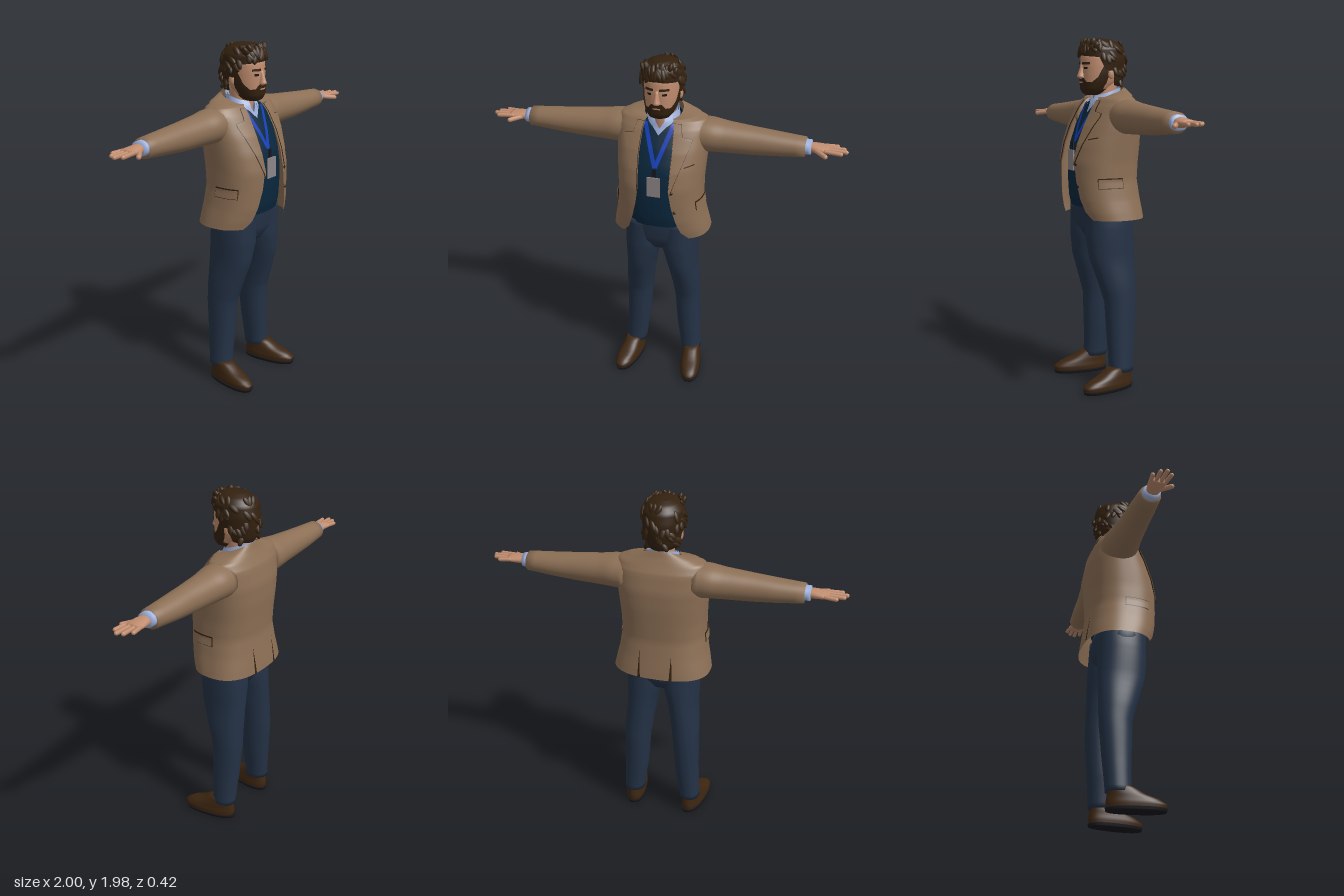
import * as THREE from 'three';
import { mergeGeometries } from 'three/addons/utils/BufferGeometryUtils.js';

const mat = (name, color, double = true) => new THREE.MeshStandardMaterial({
  name, color, side: double ? THREE.DoubleSide : THREE.FrontSide });

// Interpolate a table whose first column is the key
function at(rows, y) {
  let i = 0;
  while (i < rows.length - 2 && y > rows[i + 1][0]) i++;
  const a = rows[i], b = rows[i + 1];
  const f = THREE.MathUtils.clamp((y - a[0]) / (b[0] - a[0]), 0, 1);
  return [0, 1, 2, 3, 4, 5, 6].map(k => (a[k] ?? 0) + ((b[k] ?? 0) - (a[k] ?? 0)) * f);
}

// Point on a body whose rows are [y, halfWidth, zBack, zFront, centreX, tilt, frontOpening]
function point(rows, p, t, y, off = 0) {
  const [, w, zb, zf, cx, tilt] = at(rows, y), s = Math.sin(t), c = Math.cos(t);
  return [cx + (w + off) * Math.sign(s) * Math.abs(s) ** p,
    y + tilt * c,
    (zb + zf) / 2 + ((zf - zb) / 2 + off) * Math.sign(c) * Math.abs(c) ** p];
}
const angleAt = (rows, p, x, y) =>
  Math.sign(x) * Math.asin(Math.min(1, Math.abs(x) / at(rows, y)[1]) ** (1 / p));

// Surface from f(u, v): u runs to the right, v upwards
function grid(nu, nv, f, wrap = false) {
  const pos = [], idx = [], cols = wrap ? nu : nu + 1;
  for (let j = 0; j <= nv; j++) for (let i = 0; i < cols; i++) pos.push(...f(i / nu, j / nv));
  for (let j = 0; j < nv; j++) for (let i = 0; i < nu; i++) {
    const i2 = (i + 1) % cols, a = j * cols + i, b = j * cols + i2;
    idx.push(a, b, b + cols, a, b + cols, a + cols);
  }
  const g = new THREE.BufferGeometry();
  g.setAttribute('position', new THREE.Float32BufferAttribute(pos, 3));
  g.setIndex(idx);
  g.computeVertexNormals();
  return g;
}

// Stack of rounded cross-sections, either closed with caps or open at the front
function loft(rows, { p = 1, n = 40, open = false, sub = 3 } = {}) {
  const N = (rows.length - 1) * sub;
  const yAt = k => {
    const i = Math.min(Math.floor(k / sub), rows.length - 2);
    return rows[i][0] + (rows[i + 1][0] - rows[i][0]) * (k / sub - i);
  };
  if (open) return grid(n, N, (u, v) => {
    const y = yAt(v * N), t0 = angleAt(rows, p, at(rows, y)[6], y);
    return point(rows, p, t0 + (2 * Math.PI - 2 * t0) * u, y);
  });
  return grid(n, N + 2, (u, v) => {
    const j = Math.round(v * (N + 2)), y = yAt(THREE.MathUtils.clamp(j - 1, 0, N));
    if (j > 0 && j < N + 2) return point(rows, p, u * 2 * Math.PI, y);
    const r = at(rows, y);
    return [r[4], y, (r[2] + r[3]) / 2];
  }, true);
}

// Plate lying on a body between two angles and two heights
const patch = (rows, p, t0, t1, y0, y1, off) => grid(12, 6, (u, v) =>
  point(rows, p, t0 + (t1 - t0) * u, y0 + (y1 - y0) * v, off));

function mirrored(geo) {
  const g = geo.clone().scale(-1, 1, 1), ix = g.index;
  for (let i = 0; i < ix.count; i += 3) {
    const b = ix.getX(i + 1);
    ix.setX(i + 1, ix.getX(i + 2));
    ix.setX(i + 2, b);
  }
  return g;
}

const ellipsoid = (rx, ry, rz, x, y, z) =>
  new THREE.SphereGeometry(1, 18, 12).scale(rx, ry, rz).translate(x, y, z);

function finger(a, b, r) {
  const A = new THREE.Vector3(...a), B = new THREE.Vector3(...b), d = B.clone().sub(A);
  const g = new THREE.CapsuleGeometry(r, d.length(), 5, 10);
  g.applyQuaternion(new THREE.Quaternion().setFromUnitVectors(new THREE.Vector3(0, 1, 0), d.normalize()));
  const c = A.add(B).multiplyScalar(0.5);
  return g.translate(c.x, c.y, c.z);
}

export function createModel() {
  const model = new THREE.Group();
  model.name = 'man';
  const tan = mat('jacketTan', 0x8c6f55), brown = mat('hairBrown', 0x33210f), leather = mat('shoeLeather', 0x3d2611, false),
    dark = mat('soleBlack', 0x17171c), navy = mat('trouserNavy', 0x243246, false), knit = mat('sweaterBlue', 0x0a273d),
    blue = mat('lanyardBlue', 0x143fb8), pale = mat('shirtBlue', 0x9fb2de), skin = mat('skin', 0xc08c6e, false),
    grey = mat('badgeGrey', 0x8d8587, false);
  const add = (name, geo, m) => {
    const mesh = new THREE.Mesh(geo, m);
    mesh.name = name;
    model.add(mesh);
  };
  const pair = (name, geo, m) => {
    add(name + 'Left', geo, m);
    add(name + 'Right', mirrored(geo), m);
  };

  // Jacket body, open down the front
  const J = [[.985, .277, -.205, .175, 0, 0, .19], [1.03, .268, -.2, .19, 0, 0, .15], [1.1, .252, -.19, .205, 0, 0, .125],
    [1.2, .237, -.177, .213, 0, 0, .1], [1.3, .238, -.183, .213, 0, 0, .085], [1.4, .245, -.19, .19, 0, 0, .088],
    [1.5, .252, -.19, .15, 0, 0, .09], [1.6, .255, -.17, .095, 0, 0, .085], [1.645, .24, -.145, .06, 0, 0, .078],
    [1.67, .17, -.125, .05, 0, -.015, .07], [1.68, .105, -.115, .045, 0, -.035, .066]];
  const jp = .8, onJacket = (x, y, off) => point(J, jp, angleAt(J, jp, x, y), y, off);
  add('jacketBody', loft(J, { p: jp, n: 72, open: true, sub: 4 }), tan);
  add('jacketCollar', grid(48, 4, (u, v) => {
    const y = 1.66 + .02 * v, t0 = angleAt(J, jp, at(J, y)[6], y);
    return point(J, jp, t0 + (2 * Math.PI - 2 * t0) * u, y, .008);
  }), tan);

  // Notched lapels with a dark edge underneath
  const edge = [[1.28, .089], [1.35, .112], [1.45, .145], [1.555, .18], [1.572, .178], [1.58, .13], [1.64, .115]];
  const lapel = (extra, off) => grid(8, 36, (u, v) => {
    const y = 1.28 + .36 * v, o = at(J, y)[6];
    return onJacket(o + (at(edge, y)[1] + extra - o) * u, y, off);
  });
  pair('lapelEdge', lapel(.004, .006), brown);
  pair('lapel', lapel(0, .011), tan);

  // Pocket flaps, back vents, chest pocket and buttons
  pair('pocketFlapEdge', patch(J, jp, 1.08, 1.68, 1.161, 1.219, .005), brown);
  pair('pocketFlap', patch(J, jp, 1.1, 1.66, 1.165, 1.213, .009), tan);
  pair('backVent', grid(4, 10, (u, v) => {
    const y = .986 + .16 * v;
    return point(J, jp, Math.PI - angleAt(J, jp, .09 - (u - .5) * .016 * (1 - v), y), y, .004);
  }), brown);
  add('chestPocket', grid(6, 2, (u, v) => onJacket(.155 + .05 * u, 1.425 + .012 * u + .006 * v, .005)), brown);
  for (const [x, y] of [[.102, 1.29], [.118, 1.17]]) {
    const [px, py, pz] = onJacket(x, y, .003);
    add('jacketButton', ellipsoid(.009, .009, .005, px, py, pz), brown);
  }

  // Arms are lofted upright, then turned to point sideways
  const arm = (rows, opt) => loft(rows, opt).rotateZ(-Math.PI / 2);
  pair('sleeve', arm([[.19, .098, -.15, .06, -1.552], [.27, .093, -.15, .06, -1.553], [.35, .086, -.135, .047, -1.548],
    [.5, .077, -.12, .035, -1.543], [.62, .067, -.114, .03, -1.542], [.775, .054, -.1, .02, -1.543]]), tan);
  pair('shirtCuff', arm([[.75, .042, -.088, .01, -1.546], [.805, .039, -.086, .008, -1.546]]), pale);
  pair('palm', arm([[.79, .027, -.07, -.005, -1.547], [.83, .025, -.078, .006, -1.547], [.87, .02, -.084, .012, -1.547],
    [.9, .014, -.082, .012, -1.547]]), skin);
  for (const [z, tip, spread] of [[-.073, .938, -.008], [-.048, .975, -.003], [-.022, .988, .003], [.003, .962, .009]])
    pair('finger', finger([.88, 1.548, z], [tip, 1.546, z + spread], .0115), skin);
  pair('thumb', finger([.83, 1.543, -.005], [.885, 1.535, .04], .013), skin);

  // Sweater, shirt and shirt collar
  const S = [[1.045, .19, -.12, .16], [1.1, .2, -.14, .172], [1.2, .205, -.15, .178], [1.3, .205, -.15, .178],
    [1.4, .2, -.15, .163], [1.5, .2, -.14, .125], [1.57, .19, -.13, .09], [1.62, .15, -.11, .066, 0, 0, .045],
    [1.66, .1, -.1, .05, 0, -.02, .062]];
  const sp = .85;
  add('sweater', loft(S, { p: sp, n: 56, open: true }), knit);
  const C = [[1.53, .12, -.1, .095], [1.6, .1, -.095, .068], [1.64, .083, -.095, .06, 0, 0, .025],
    [1.69, .075, -.1, .045, 0, -.025, .035]];
  add('shirt', loft(C, { open: true }), pale);
  pair('shirtCollar', grid(24, 6, (u, v) => {
    const t = .3 + (Math.PI - .3) * u, low = at([[0, 1.6], [.7, 1.625], [1.5, 1.655], [3.2, 1.66]], t)[1];
    return point(C, 1, t, low + (1.689 - low) * v, .01);
  }), pale);

  // Lanyard and badge
  pair('lanyard', grid(3, 24, (u, v) => {
    const y = 1.41 + .23 * v, x = .078 * v + (u - .5) * .024;
    return point(S, sp, angleAt(S, sp, x, y), y, .007);
  }), blue);
  add('badgeClip', new THREE.BoxGeometry(.02, .05, .008).translate(0, 1.385, .178), dark);
  add('badge', new THREE.BoxGeometry(.074, .115, .008).translate(0, 1.307, .189), grey);

  // Trousers
  add('trouserSeat', loft([[.87, .08, -.1, .1], [.93, .2, -.135, .135], [1, .21, -.14, .145], [1.07, .2, -.132, .15]],
    { p: .9 }), navy);
  pair('trouserLeg', loft([[.1, .06, -.11, .03, .175], [.18, .063, -.115, .03, .168], [.3, .069, -.125, .035, .157],
    [.5, .075, -.14, .045, .147], [.6, .08, -.14, .075, .14], [.75, .086, -.14, .125, .121],
    [.87, .104, -.14, .14, .106], [.95, .108, -.136, .14, .102], [1.06, .1, -.13, .142, .1]], { p: .92 }), navy);

  // Shoes, toes turned slightly out
  const shoe = rows => loft(rows, { p: .85 }).rotateY(.16).translate(.185, 0, 0);
  pair('shoe', shoe([[.014, .058, -.105, .208], [.04, .06, -.108, .213], [.065, .056, -.105, .175],
    [.09, .053, -.1, .105], [.13, .046, -.094, .035]]), leather);
  pair('shoeSole', shoe([[0, .058, -.108, .208], [.018, .062, -.112, .216]]), dark);

  // Neck and head
  const H = [[1.675, .045, .02, .1], [1.7, .068, -.04, .115], [1.74, .083, -.08, .118], [1.78, .09, -.1, .12],
    [1.83, .093, -.11, .122], [1.88, .093, -.11, .118], [1.93, .075, -.09, .095], [1.96, .03, -.04, .04]];
  add('neck', loft([[1.58, .06, -.085, .045], [1.64, .062, -.088, .048], [1.76, .064, -.09, .045]]), skin);
  add('head', loft(H, { p: .92 }), skin);
  add('nose', loft([[1.757, .016, .1, .13], [1.768, .021, .1, .15], [1.79, .015, .1, .142], [1.835, .01, .1, .126]]), skin);
  pair('ear', ellipsoid(.012, .03, .018, .097, 1.785, -.012), skin);
  pair('eyebrow', patch(H, .92, .14, .68, 1.836, 1.849, .006), brown);
  pair('eye', patch(H, .92, .27, .54, 1.81, 1.822, .004), dark);

  // Beard, moustache and mouth
  add('chinBeard', loft([[1.668, .03, .02, .092], [1.676, .055, 0, .108], [1.7, .075, -.03, .122], [1.72, .07, .01, .122]]), brown);
  const beardTop = [[0, 1.764], [.3, 1.762], [.5, 1.74], [.85, 1.738], [1.15, 1.765], [1.4, 1.83], [1.7, 1.83]];
  add('beard', grid(60, 10, (u, v) => {
    const t = (u * 2 - 1) * 1.65, top = at(beardTop, Math.abs(t))[1];
    return point(H, .92, t, 1.678 + (top - 1.678) * v, .008);
  }), brown);
  add('mouth', patch(H, .92, -.2, .2, 1.734, 1.742, .011), skin);

  // Hair cap with a hairline, covered in soft locks
  const R = [[1.7, .065, -.105, .1], [1.74, .095, -.125, .1], [1.8, .106, -.138, .12], [1.86, .114, -.142, .125],
    [1.92, .112, -.13, .125], [1.955, .085, -.1, .105], [1.975, .045, -.055, .07], [1.98, 0, .01, .01]];
  const hairline = [[0, 1.885], [1.05, 1.875], [1.3, 1.81], [1.7, 1.79], [1.85, 1.72], [3.2, 1.715]];
  add('hair', grid(72, 26, (u, v) => {
    const t = (u * 2 - 1) * Math.PI, low = at(hairline, Math.abs(t))[1];
    return point(R, 1, t, low + (1.98 - low) * (1 - (1 - v) ** 1.5));
  }), brown);
  let seed = 7;
  const rand = () => (seed = (seed * 16807) % 2147483647) / 2147483647;
  const locks = [];
  for (let i = 0; i < 60; i++) {
    const t = i * 2.4 % (2 * Math.PI) - Math.PI, low = at(hairline, Math.abs(t))[1] + .02;
    const g = new THREE.SphereGeometry(1, 10, 8).scale(.016, .034, .011);
    g.rotateZ((rand() - .3) * 1.4).rotateX(-.35).rotateY(t);
    locks.push(g.translate(...point(R, 1, t, low + (1.955 - low) * rand(), -.002)));
  }
  // Raised quiff along the front
  for (let i = 0; i < 9; i++) {
    const x = -.08 + i * .02;
    locks.push(new THREE.SphereGeometry(1, 10, 8).scale(.016, .036, .022).rotateZ(.5 - i * .12)
      .translate(x, 1.935 + .012 * Math.sin(i * 2.1), .095 - x * x * 4));
  }
  add('hairLocks', mergeGeometries(locks), brown);
  return model;
}
